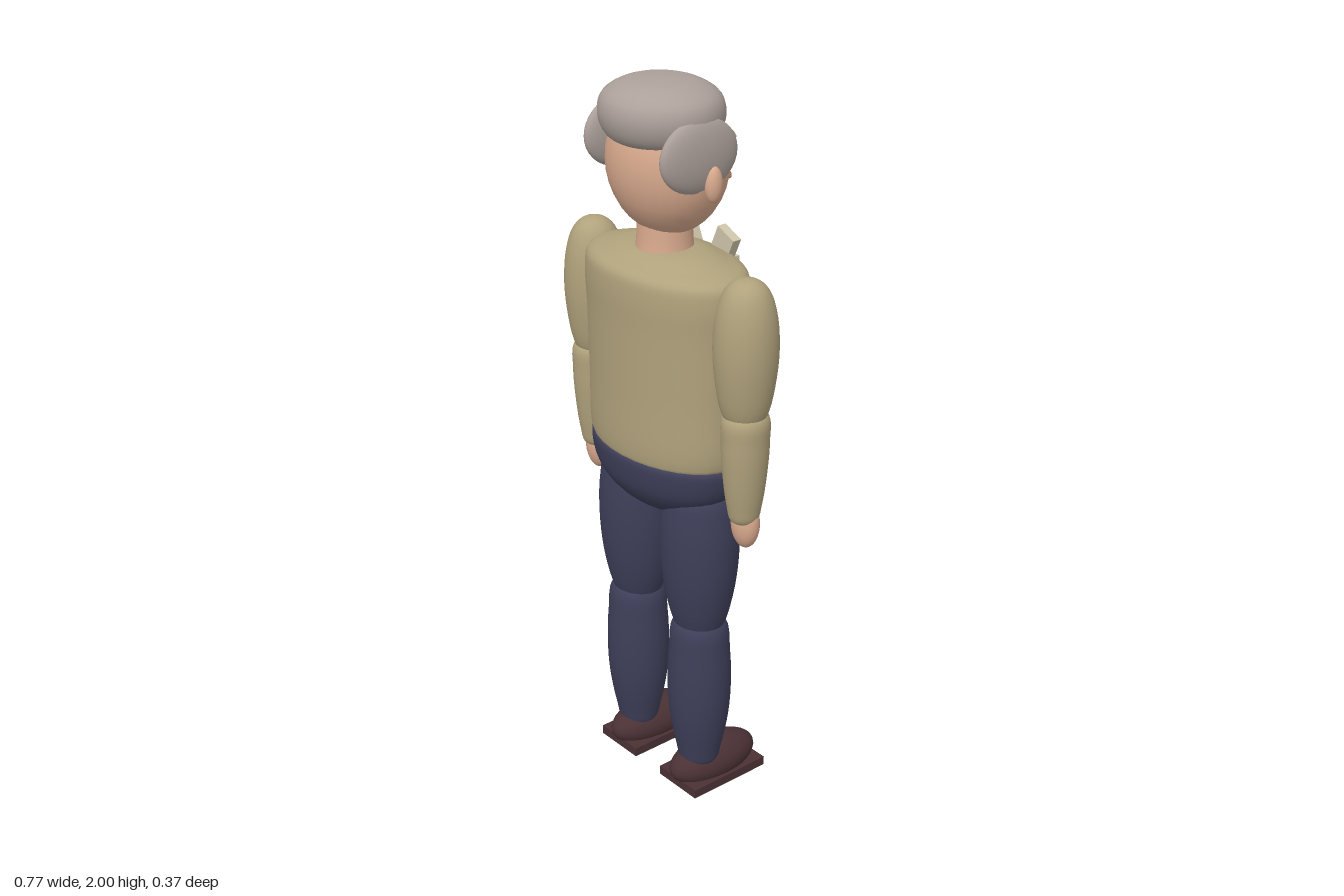
import * as THREE from 'three';

const mat = (name, color) => {
  const m = new THREE.MeshStandardMaterial({ color });
  m.name = name;
  return m;
};

export function createModel() {
  const M = {
    sweater: mat('sweater olive', 0xb0a27c),
    trousers: mat('trouser navy', 0x3e3f59),
    skin: mat('skin', 0xd9aa8e),
    hair: mat('grey hair', 0xaca09a),
    shoe: mat('shoe brown', 0x4a3134),
    shirt: mat('shirt cream', 0xcfc5ab),
    button: mat('button tan', 0x8c7d60),
    white: mat('eye white', 0xe8e4dc),
    dark: mat('dark', 0x1f1a1b),
    crease: mat('skin crease', 0xa06c56),
  };
  const model = new THREE.Group();
  model.name = 'standingMan';

  const add = (name, geo, material, pos, rot = [0, 0, 0], scale = [1, 1, 1]) => {
    const mesh = new THREE.Mesh(geo, material);
    mesh.name = name;
    mesh.position.set(...pos);
    mesh.rotation.set(...rot);
    mesh.scale.set(...scale);
    model.add(mesh);
    return mesh;
  };
  const ellipsoid = (name, material, pos, radii, rot) =>
    add(name, new THREE.SphereGeometry(1, 28, 18), material, pos, rot, radii);
  const box = (name, material, pos, size, rot) =>
    add(name, new THREE.BoxGeometry(...size), material, pos, rot);
  // Turned body part: [radius, height] pairs from bottom to top, squashed along z
  const turned = (name, material, profile, [x, z], depth = 1, smooth = 28) => {
    const curve = new THREE.CatmullRomCurve3(
      profile.map(([r, y]) => new THREE.Vector3(r, y, 0)), false, 'centripetal');
    const pts = curve.getPoints(smooth).map(p => new THREE.Vector2(Math.max(p.x, 0), p.y));
    return add(name, new THREE.LatheGeometry(pts, 32), material, [x, 0, z], [0, 0, 0], [1, 1, depth]);
  };

  // Torso and pelvis
  turned('sweaterBody', M.sweater, [[0, 1.015], [0.235, 1.015], [0.25, 1.03], [0.257, 1.2], [0.262, 1.38],
    [0.266, 1.48], [0.255, 1.525], [0.19, 1.55], [0.12, 1.568], [0, 1.572]], [0, 0.015], 0.615, 45);
  turned('pelvis', M.trousers, [[0, 0.84], [0.09, 0.848], [0.17, 0.88], [0.228, 0.93], [0.248, 0.98],
    [0.249, 1.02], [0.2, 1.025]], [0, 0.015], 0.615);

  // Shirt front, collar and buttons
  box('shirtPlacket', M.shirt, [0, 1.35, -0.147], [0.17, 0.34, 0.018]);
  for (const y of [1.4, 1.27, 1.14]) ellipsoid('button', M.button, [0, y, -0.16], [0.011, 0.011, 0.011]);

  // Neck and head
  turned('neck', M.skin, [[0.078, 1.54], [0.073, 1.58], [0.07, 1.64]], [0, 0.02], 1, 8);
  ellipsoid('head', M.skin, [0, 1.79, 0.012], [0.17, 0.19, 0.145]);
  ellipsoid('chin', M.skin, [0, 1.648, -0.06], [0.06, 0.034, 0.05]);
  ellipsoid('nose', M.skin, [0, 1.765, -0.148], [0.022, 0.032, 0.025]);
  ellipsoid('mouth', M.dark, [0, 1.702, -0.116], [0.036, 0.007, 0.008]);
  turned('hairCap', M.hair, [[0, 1.835], [0.1, 1.84], [0.145, 1.86], [0.165, 1.91], [0.154, 1.955],
    [0.105, 1.987], [0.05, 1.997], [0, 2.0]], [0, 0.03], 0.93);

  for (const s of [1, -1]) {
    const side = s > 0 ? 'left' : 'right';

    // Collar flap spreading outward toward the top
    box(side + 'CollarFlap', M.shirt, [s * 0.068, 1.545, -0.118], [0.065, 0.1, 0.026], [0, 0, -s * 0.42]);

    // Side hair, ear and facial features
    ellipsoid(side + 'SideHair', M.hair, [s * 0.15, 1.836, 0.038], [0.03, 0.094, 0.118], [0, -s * 0.03, 0]);
    ellipsoid(side + 'Ear', M.skin, [s * 0.176, 1.765, 0.012], [0.02, 0.047, 0.024]);
    ellipsoid(side + 'EyeWhite', M.white, [s * 0.064, 1.81, -0.122], [0.035, 0.021, 0.012], [0, -s * 0.2, 0]);
    ellipsoid(side + 'Pupil', M.dark, [s * 0.062, 1.81, -0.132], [0.019, 0.019, 0.008], [0, -s * 0.2, 0]);
    ellipsoid(side + 'Eyebrow', M.hair, [s * 0.07, 1.85, -0.122], [0.042, 0.009, 0.012], [0, -s * 0.2, -s * 0.15]);
    ellipsoid(side + 'CheekCrease', M.crease, [s * 0.104, 1.752, -0.098], [0.018, 0.007, 0.008], [0, -s * 0.6, -s * 0.2]);

    // Arm
    turned(side + 'UpperArm', M.sweater, [[0, 1.17], [0.045, 1.185], [0.06, 1.21], [0.076, 1.29], [0.083, 1.38],
      [0.076, 1.47], [0.056, 1.53], [0.03, 1.555], [0, 1.562]], [s * 0.302, 0.012]);
    turned(side + 'Forearm', M.sweater, [[0, 0.9], [0.032, 0.906], [0.044, 0.95], [0.056, 1.05], [0.06, 1.13],
      [0.055, 1.2], [0, 1.23]], [s * 0.306, 0.012], 1.06);
    ellipsoid(side + 'Hand', M.skin, [s * 0.305, 0.895, 0.006], [0.042, 0.07, 0.034]);
    ellipsoid(side + 'Thumb', M.skin, [s * 0.275, 0.9, -0.016], [0.014, 0.035, 0.015], [0, 0, s * 0.2]);

    // Leg
    turned(side + 'Thigh', M.trousers, [[0, 0.5], [0.06, 0.51], [0.076, 0.54], [0.1, 0.64], [0.111, 0.76],
      [0.107, 0.86], [0.09, 0.93], [0, 0.97]], [s * 0.131, 0.01], 0.92);
    turned(side + 'Shin', M.trousers, [[0, 0.08], [0.05, 0.085], [0.064, 0.13], [0.084, 0.24], [0.09, 0.34],
      [0.086, 0.44], [0.072, 0.53], [0, 0.56]], [s * 0.133, 0.01], 0.95);

    // Shoe
    ellipsoid(side + 'Shoe', M.shoe, [s * 0.131, 0.063, -0.041], [0.072, 0.063, 0.144]);
    box(side + 'Sole', M.shoe, [s * 0.131, 0.028, -0.042], [0.154, 0.026, 0.256]);
  }
  return model;
}
